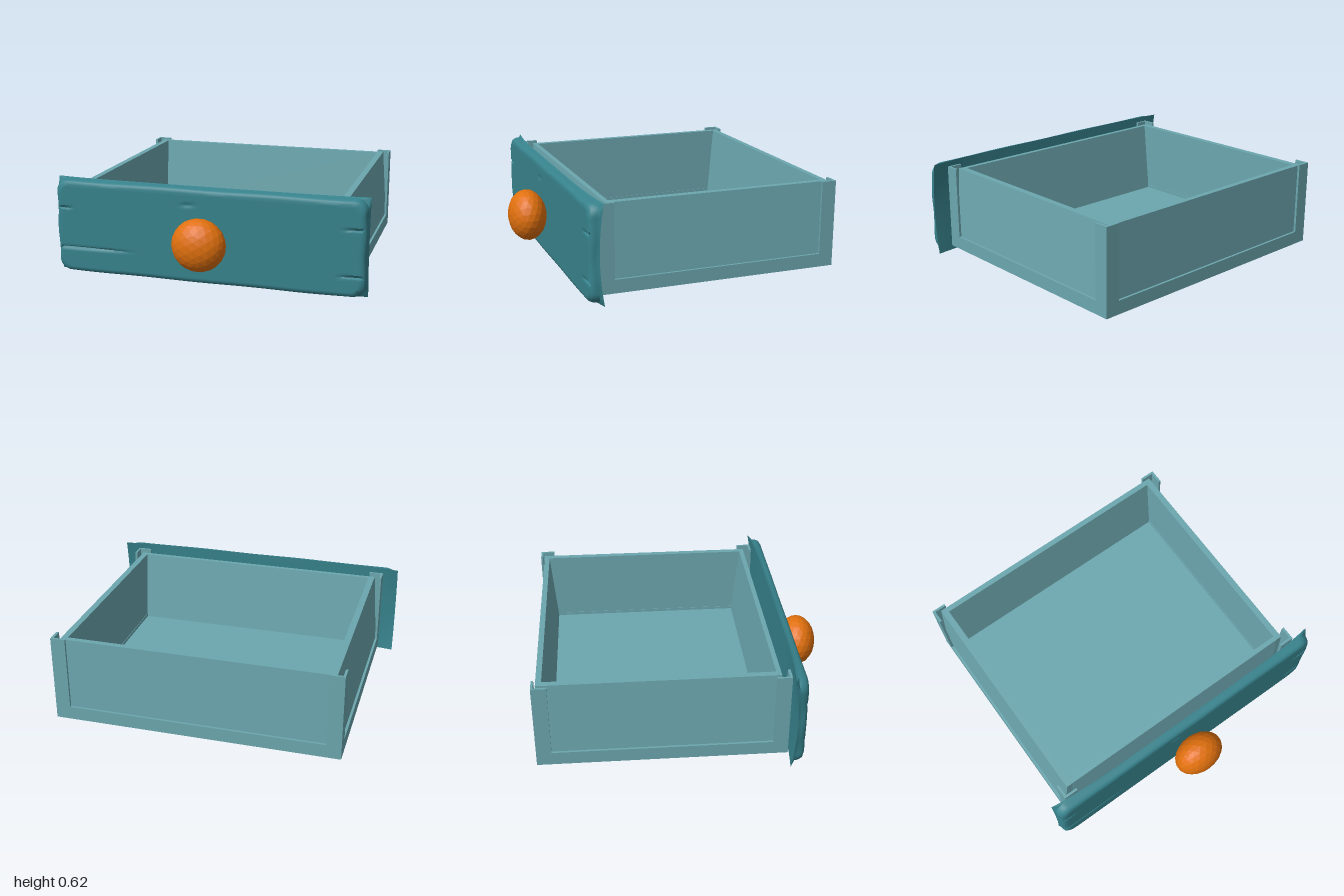
import * as THREE from 'three';
import { mergeVertices, toCreasedNormals } from 'three/addons/utils/BufferGeometryUtils.js';

const material = (name, color) => Object.assign(new THREE.MeshStandardMaterial({ color }), { name });

export function createModel() {
  const drawer = new THREE.Group();
  drawer.name = 'drawer';
  const paleTeal = material('pale teal', 0x6ca7af);
  const deepTeal = material('deep teal', 0x37828c);
  const orange = material('orange', 0xe0700e);

  const add = (name, geometry, mat) => {
    const mesh = new THREE.Mesh(geometry, mat);
    mesh.name = name;
    drawer.add(mesh);
    return mesh;
  };
  // Box given by two opposite corners, in any order
  const block = (name, x0, x1, y0, y1, z0, z1) =>
    add(name, new THREE.BoxGeometry(Math.abs(x1 - x0), y1 - y0, Math.abs(z1 - z0)), paleTeal)
      .position.set((x0 + x1) / 2, (y0 + y1) / 2, (z0 + z1) / 2);

  // Tray limits and the recess of its panels
  const W = 0.9, BACK = -0.93, FRONT = 0.605, LOW = 0.035, RAIL = 0.12;
  const FLOOR = 0.1, WALL = 0.575, POST = 0.585, STEP = 0.015, ARM = 0.093;

  // Bottom rails: a rectangular ring around the floor
  const rectangle = (path, x, z0, z1) =>
    path.moveTo(-x, z0).lineTo(x, z0).lineTo(x, z1).lineTo(-x, z1).closePath();
  const ring = rectangle(new THREE.Shape(), W, -FRONT, -BACK);
  ring.holes.push(rectangle(new THREE.Path(), W - ARM, -FRONT + ARM, -BACK - ARM));
  const rails = new THREE.ExtrudeGeometry(ring, { depth: RAIL - LOW, bevelEnabled: false });
  rails.rotateX(-Math.PI / 2).translate(0, LOW, 0);
  add('bottomRails', rails, paleTeal);
  block('floor', -W + ARM, W - ARM, LOW + 0.004, FLOOR, BACK + ARM, FRONT - ARM);

  // Wall cross-section: outer and inner faces at the bottom and the top
  const wall = (outerLow, outerTop, innerTop, innerLow, length) => {
    const profile = new THREE.Shape([
      new THREE.Vector2(outerLow, RAIL), new THREE.Vector2(innerLow, FLOOR),
      new THREE.Vector2(innerTop, WALL), new THREE.Vector2(outerTop, WALL),
    ]);
    return new THREE.ExtrudeGeometry(profile, { depth: length, bevelEnabled: false })
      .translate(0, 0, -length / 2);
  };

  // Thin walls whose outer faces lean inward to the top
  const middle = (BACK + FRONT) / 2;
  for (const s of [-1, 1]) {
    add('sideWall', wall(s * (W - STEP), s * 0.85, s * 0.81, s * 0.81, 1.455), paleTeal)
      .position.z = middle - 0.015;
  }
  add('frontWall', wall(FRONT - STEP, 0.55, 0.52, 0.47, 1.62).rotateY(-Math.PI / 2), paleTeal);
  add('backWall', wall(BACK + STEP, -0.905, -0.87, -0.83, 1.62).rotateY(-Math.PI / 2), paleTeal);

  // L-shaped corner posts standing just above the walls
  for (const s of [-1, 1]) {
    for (const [z, d] of [[BACK, 1], [FRONT, -1]]) {
      block('cornerPostSide', s * W, s * (W - STEP), RAIL, POST, z, z + d * ARM);
      block('cornerPostEnd', s * (W - STEP), s * (W - ARM), RAIL, POST, z, z + d * STEP);
    }
  }

  add('frontBoard', frontBoardGeometry(), deepTeal);

  // Faceted egg-shaped knob
  const knob = new THREE.IcosahedronGeometry(1, 3);
  knob.scale(0.169, 0.165, 0.122);
  knob.computeVertexNormals();
  add('knob', knob, orange).position.set(0, 0.295, 0.808);

  return drawer;
}

// Worn wooden board: soft front edges, square flared back corners, carved cracks
function frontBoardGeometry() {
  const HX = 1, HY = 0.3075;
  let g = new THREE.BoxGeometry(2, 2, 1, 100, 64, 8);
  g.deleteAttribute('uv');
  g.deleteAttribute('normal');
  g = mergeVertices(g);
  // Cracks: start at the edge, end inside, height
  const cracks = [
    [-0.97, -0.87, 0.43], [-0.95, -0.44, 0.17],
    [0.97, 0.84, 0.43], [0.97, 0.81, 0.14],
  ];
  const p = g.attributes.position;
  for (let i = 0; i < p.count; i++) {
    const u = p.getX(i), v = p.getY(i), t = p.getZ(i) + 0.5;
    // Outline shrinks and rounds from back to front
    const f = Math.max(0, (t - 0.3) / 0.7);
    const inset = 0.005 * Math.min(1, t / 0.25) + 0.03 * (1 - Math.sqrt(1 - f * f));
    const r = 0.075 * Math.min(1, t / 0.25);
    const hx = HX - inset, hy = HY - inset;
    let x = Math.abs(u) * hx, y = Math.abs(v) * hy;
    const cx = hx - r, cy = hy - r;
    if (r > 0 && x > cx && y > cy) {
      const a = (x - cx) / r, b = (y - cy) / r;
      x = cx + r * a * Math.sqrt(1 - b * b / 2);
      y = cy + r * b * Math.sqrt(1 - a * a / 2);
    }
    x *= Math.sign(u);
    y = y * Math.sign(v) + HY;
    // Uneven edges
    const worn = Math.min(1, t * 2);
    x -= Math.sign(u) * worn * 0.003 * (1 + Math.sin(y * 23 + u * 2)) * Math.abs(u) ** 20;
    y -= Math.sign(v) * worn * 0.0015 * (1 + Math.sin(x * 9 + v)) * Math.abs(v) ** 20;
    // The back bends toward the tray at the corners
    const back = 0.634 - 0.028 * Math.abs(u) ** 5 * v * v;
    let z = back + (0.691 - back) * t;
    if (t > 0.99) {
      for (const [x0, x1, h] of cracks) {
        const k = (x1 - x) / (x1 - x0);
        if (k > 0) z -= 0.018 * Math.min(1, k * 1.5) * Math.exp(-(((y - h) / 0.007) ** 2));
      }
      // Small chip near the top
      z -= 0.008 * Math.exp(-(((x + 0.11) / 0.04) ** 2) - ((y - 0.505) / 0.012) ** 2);
    }
    p.setXYZ(i, x, y, z);
  }
  return toCreasedNormals(g, 0.7);
}
